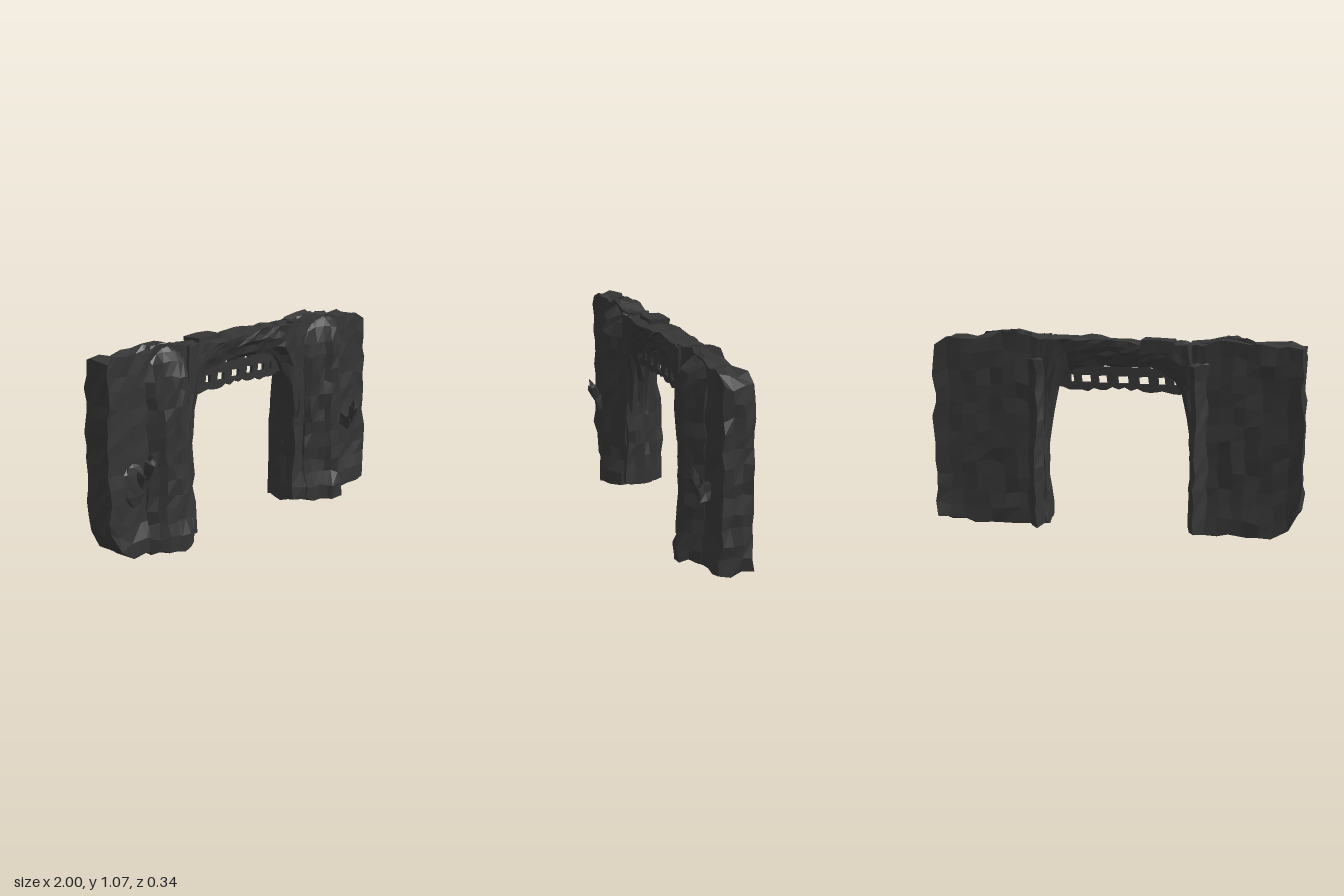
import * as THREE from 'three';

const stone = new THREE.MeshStandardMaterial({ color: 0x353535 });
stone.name = 'dark stone';

// Repeatable noise in -1..1, keyed by position so shared corners stay joined
function noise(x, y, z, k) {
  const q = (v) => Math.round(v * 500);
  const s = Math.sin(q(x) * 12.9898 + q(y) * 78.233 + q(z) * 37.719 + k * 19.19) * 43758.5453;
  return 2 * (s - Math.floor(s)) - 1;
}

// Straight-line interpolation through [x, value] points
function along(points) {
  return (x) => {
    if (x <= points[0][0]) return points[0][1];
    for (let i = 1; i < points.length; i++) {
      const [x0, a] = points[i - 1], [x1, b] = points[i];
      if (x <= x1) return a + (b - a) * (x - x0) / (x1 - x0);
    }
    return points[points.length - 1][1];
  };
}

// Faceted, roughened mesh
function rough(name, geometry, amount) {
  const p = geometry.attributes.position;
  for (let i = 0; i < p.count; i++) {
    const x = p.getX(i), y = p.getY(i), z = p.getZ(i);
    p.setXYZ(i,
      THREE.MathUtils.clamp(x + noise(x, y, z, 1) * amount, -1, 1),
      Math.max(0, y + noise(x, y, z, 2) * amount),
      z + noise(x, y, z, 3) * amount * 0.65);
  }
  const flat = geometry.index ? geometry.toNonIndexed() : geometry;
  flat.computeVertexNormals();
  const mesh = new THREE.Mesh(flat, stone);
  mesh.name = name;
  return mesh;
}

// Block whose six sides follow simple rules
function rock(name, { x0, x1, seg, bottom, top, back, front, amount = 0.012, dense = false, slope = 0 }) {
  const g = new THREE.BoxGeometry(2, 1, 1, ...seg);
  const p = g.attributes.position;
  for (let i = 0; i < p.count; i++) {
    const t = dense ? Math.sin(p.getX(i) * Math.PI / 2) : p.getX(i);
    const v = p.getY(i) + 0.5, w = p.getZ(i) + 0.5;
    const x = (x0 + x1) / 2 + t * (x1 - x0) / 2;
    const y = THREE.MathUtils.lerp(bottom(x), top(x) - slope * w * w, v);
    p.setXYZ(i, x, y, THREE.MathUtils.lerp(back(x, y), front(x, y), w));
  }
  return rough(name, g, amount);
}

const topLine = along([[-1, 1.02], [-0.95, 1.035], [-0.8, 1.02], [-0.6, 1.055], [-0.45, 1.02],
  [-0.15, 1.02], [0.1, 1.04], [0.4, 1.035], [0.58, 1.06], [0.75, 1.025], [0.85, 1.03], [0.96, 1.01], [1, 0.95]]);
const archLine = along([[-0.42, 0.42], [-0.405, 0.58], [-0.37, 0.74], [-0.31, 0.85], [-0.22, 0.9],
  [0.18, 0.9], [0.27, 0.85], [0.335, 0.74], [0.36, 0.58], [0.375, 0.42]]);
// Thicker foot at ground level
const foot = along([[0.1, 1], [0.15, 0]]);

function torch(name, x) {
  const g = new THREE.Group();
  g.name = name;
  const add = (part, geo, py, pz, tilt, amount) => {
    geo.rotateX(tilt).translate(x, py, pz);
    g.add(rough(part, geo, amount));
  };
  add('bracket', new THREE.BoxGeometry(0.04, 0.07, 0.07, 2, 2, 2), 0.42, 0.07, 0.2, 0.008);
  add('handle', new THREE.CylinderGeometry(0.028, 0.012, 0.14, 6, 3), 0.45, 0.105, 0.35, 0.006);
  add('flame', new THREE.ConeGeometry(0.026, 0.07, 6, 2), 0.535, 0.135, 0.2, 0.008);
  return g;
}

// Thin lattice with a ragged lower edge
function lattice() {
  const s = new THREE.Shape();
  s.moveTo(-0.38, 0.95);
  const n = 22;
  for (let i = 0; i <= n; i++) {
    const x = -0.38 + 0.73 * i / n;
    s.lineTo(x, 0.765 + 0.015 * noise(x, 0, 0, 5));
  }
  s.lineTo(0.35, 0.95);
  const hole = (x, y, w, h) => {
    const r = new THREE.Path();
    r.moveTo(x - w / 2, y - h / 2);
    r.lineTo(x - w / 2 + 0.005, y + h / 2);
    r.lineTo(x + w / 2, y + h / 2 - 0.004);
    r.lineTo(x + w / 2 - 0.003, y - h / 2 - 0.002);
    s.holes.push(r);
  };
  for (const [x, w] of [[-0.32, 0.025], [-0.245, 0.04], [-0.15, 0.055], [-0.04, 0.06],
    [0.07, 0.05], [0.16, 0.055], [0.235, 0.022]]) hole(x, 0.82, w, 0.04);
  for (const x of [-0.2, -0.1, 0.05, 0.19]) hole(x, 0.894, 0.04, 0.018);
  const geo = new THREE.ExtrudeGeometry(s, { depth: 0.02, bevelEnabled: false });
  geo.translate(0, 0, -0.03);
  return rough('portcullis', geo, 0);
}

export function createModel() {
  const gate = new THREE.Group();
  gate.name = 'stoneGate';

  // Wall slabs on either side of the opening, with worn lower corners and a raised rim
  const walls = [
    ['rightWall', -0.988, -0.408, -0.988, [[-0.99, 0.17], [-0.94, 0.08], [-0.87, 0.015], [-0.7, 0.02], [-0.43, 0.03]]],
    ['leftWall', 0.372, 0.982, 0.982, [[0.37, 0.03], [0.43, 0.015], [0.7, 0.015], [0.92, 0.03], [0.99, 0.06]]],
  ];
  for (const [name, x0, x1, outer, base] of walls) {
    const edge = (x) => Math.max(0, 1 - Math.abs(x - outer) / 0.1);
    gate.add(rock(name, {
      x0, x1, seg: [8, 12, 3], amount: 0.014,
      bottom: along(base),
      top: topLine,
      back: (x, y) => -0.088 - 0.02 * edge(x) - 0.012 * foot(y),
      front: (x, y) => 0.04 + 0.012 * edge(x) + 0.018 * foot(y),
    }));
  }

  // Arched lintel, its underside sloping in towards the portcullis
  const inset = (x, y) => Math.min(1, Math.max(0, (y - archLine(x)) / 0.09));
  gate.add(rock('archLintel', {
    x0: -0.45, x1: 0.41, seg: [24, 5, 3], dense: true, amount: 0.01,
    bottom: archLine, top: topLine,
    back: (x, y) => -0.07 - 0.024 * inset(x, y),
    front: (x, y) => 0.01 + 0.042 * inset(x, y),
  }));
  gate.add(lattice());

  // Front buttresses with spreading feet
  const buttresses = [
    ['rightButtress', -0.73, -0.44, [[-0.73, 0.045], [-0.66, 0.105], [-0.6, 0.132], [-0.54, 0.138], [-0.5, 0.085], [-0.44, 0.045]]],
    ['leftButtress', 0.46, 0.74, [[0.46, 0.045], [0.51, 0.075], [0.56, 0.1], [0.62, 0.14], [0.66, 0.138], [0.7, 0.09], [0.74, 0.045]]],
  ];
  for (const [name, x0, x1, profile] of buttresses) {
    const f = along(profile);
    gate.add(rock(name, {
      x0, x1, seg: [8, 13, 3], slope: 0.08,
      bottom: () => 0.02, top: (x) => topLine(x) + 0.01,
      back: () => -0.02,
      front: (x, y) => f(x) + 0.022 * foot(y) - (y > 0.9 ? (y - 0.9) * 0.25 : 0),
    }));
  }

  // Rear ribs beside the opening, ridge nearer the jamb
  const ribDepth = along([[0.05, 0.172], [0.15, 0.175], [0.43, 0.178], [0.6, 0.152], [0.85, 0.145], [0.92, 0.175]]);
  for (const [name, c, side] of [['rightRearRib', -0.44, -1], ['leftRearRib', 0.405, 1]]) {
    const ends = [c + side * 0.06, c - side * 0.03];
    gate.add(rock(name, {
      x0: Math.min(...ends), x1: Math.max(...ends), seg: [3, 11, 2], amount: 0.008,
      bottom: () => 0.03, top: () => 0.93,
      back: (x, y) => {
        const k = Math.max(0, 1 - Math.abs(x - c) / 0.06);
        return -0.085 - (ribDepth(y) - 0.085) * k;
      },
      front: () => -0.04,
    }));
  }

  // Loose slab on top of the lintel
  gate.add(rock('topSlab', {
    x0: -0.32, x1: -0.15, seg: [2, 1, 1], amount: 0.006,
    bottom: () => 0.98, top: () => 1.045,
    back: () => -0.11, front: () => 0.0,
  }));

  // Weathered bump and wall torches
  const bump = new THREE.SphereGeometry(1, 8, 6).scale(0.085, 0.11, 0.022).translate(-0.82, 0.39, 0.04);
  gate.add(rough('wallBump', bump, 0.008));
  gate.add(torch('rightTorch', -0.79), torch('leftTorch', 0.8));
  return gate;
}
